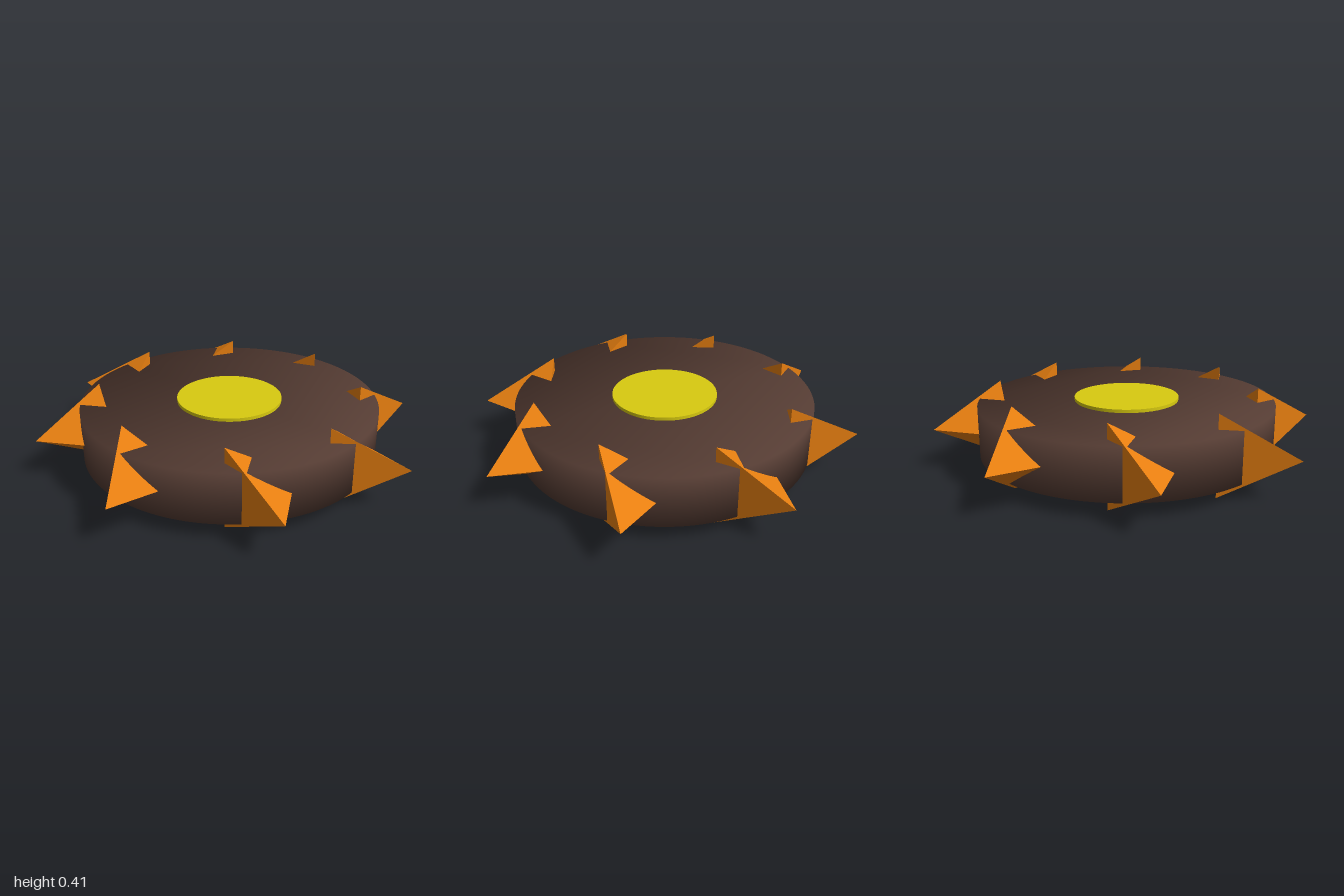
import * as THREE from 'three';

const MID = 0.206; // height of the middle plane

export function createModel() {
  const group = new THREE.Group();
  const brown = new THREE.MeshStandardMaterial({ color: 0x553c33 });
  brown.name = 'darkBrown';
  const yellow = new THREE.MeshStandardMaterial({ color: 0xd8ca10 });
  yellow.name = 'yellow';
  const orange = new THREE.MeshStandardMaterial({ color: 0xe67e10 });
  orange.name = 'orange';
  orange.flatShading = true;

  // Wheel body: a disc with soft normals that blend the caps into the rim
  const radius = 0.77, height = 0.26;
  const circle = new THREE.Shape().absarc(0, 0, radius, 0, Math.PI * 2);
  const bodyGeo = new THREE.ExtrudeGeometry(circle, { depth: height, bevelEnabled: false, curveSegments: 64 });
  bodyGeo.translate(0, 0, -height / 2).rotateX(-Math.PI / 2);
  const pos = bodyGeo.attributes.position, normal = bodyGeo.attributes.normal;
  const n = new THREE.Vector3();
  for (let i = 0; i < pos.count; i++) {
    n.set(pos.getX(i) / radius, Math.sign(pos.getY(i)), pos.getZ(i) / radius).normalize();
    normal.setXYZ(i, n.x, n.y, n.z);
  }
  const body = new THREE.Mesh(bodyGeo, brown);
  body.name = 'body';
  body.position.y = MID;
  group.add(body);

  // Hub running through the body, showing on both sides
  const hub = new THREE.Mesh(new THREE.CylinderGeometry(0.272, 0.272, 0.294, 64), yellow);
  hub.name = 'hub';
  hub.position.y = MID;
  group.add(hub);

  // Eight three-sided spikes, each twisted slightly off the radius
  const spikeGeo = new THREE.ConeGeometry(0.238, 0.367, 3, 1, false, Math.PI / 2);
  spikeGeo.rotateX(Math.PI / 2).rotateY(0.2).translate(0, MID, 0.818);
  const spikes = new THREE.Group();
  spikes.name = 'spikes';
  for (let i = 0; i < 8; i++) {
    const spike = new THREE.Mesh(spikeGeo, orange);
    spike.name = 'spike' + (i + 1);
    spike.rotation.y = (i * Math.PI) / 4;
    spikes.add(spike);
  }
  group.add(spikes);
  return group;
}
